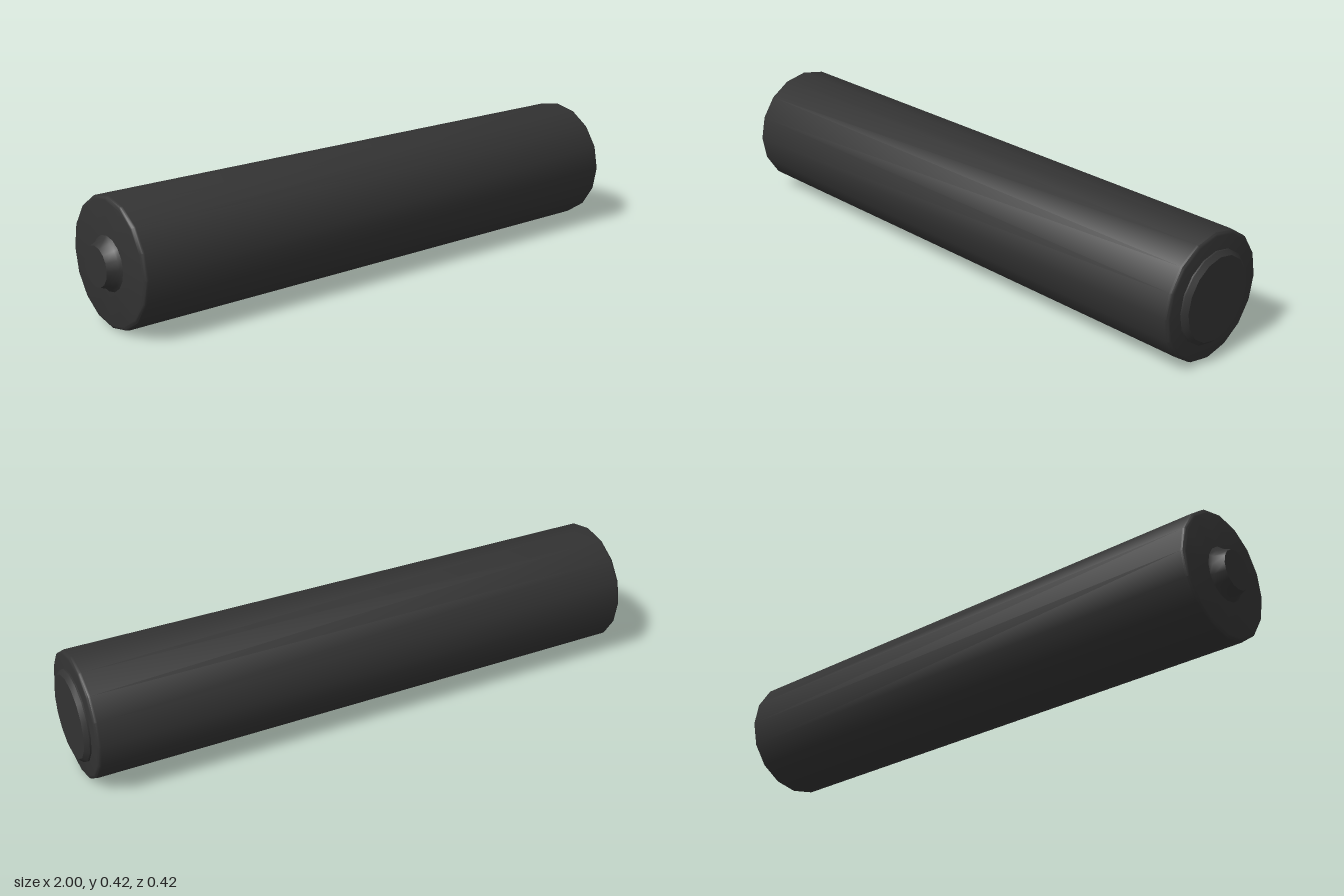
import * as THREE from 'three';
import { toCreasedNormals } from 'three/addons/utils/BufferGeometryUtils.js';

const SIDES = 16;
const RADIUS = 0.209;

export function createModel() {
  const model = new THREE.Group();
  model.name = 'battery';
  const material = new THREE.MeshStandardMaterial({ color: 0x333333 });

  // Turn a profile of [radius, x] points around the long x axis
  function turned(name, profile) {
    const points = profile.map(([r, x]) => new THREE.Vector2(r, x));
    const geometry = new THREE.LatheGeometry(points, SIDES).rotateZ(-Math.PI / 2);
    const mesh = new THREE.Mesh(toCreasedNormals(geometry, 0.6), material);
    mesh.name = name;
    mesh.position.y = RADIUS;
    model.add(mesh);
  }

  // Quarter-round edge between an end face and the side
  function roundedEdge(x, size, direction) {
    const edge = [];
    for (let i = 0; i <= 3; i++) {
      const a = (i / 3) * Math.PI / 2;
      edge.push([RADIUS - size + size * Math.cos(a), x - direction * size * (1 - Math.sin(a))]);
    }
    return direction > 0 ? edge : edge.reverse();
  }

  // Casing with softened ends
  turned('casing', [
    [0, -0.96],
    ...roundedEdge(-0.957, 0.012, -1),
    ...roundedEdge(0.981, 0.012, 1),
    [0, 0.981],
  ]);

  // Small tapered button at the -x end
  turned('positiveTerminal', [[0, -1], [0.065, -1], [0.078, -0.967], [0.09, -0.957]]);

  // Wide shallow plate at the +x end
  turned('negativeTerminal', [[0.151, 0.978], [0.151, 0.986], [0.137, 1], [0, 1]]);

  return model;
}
